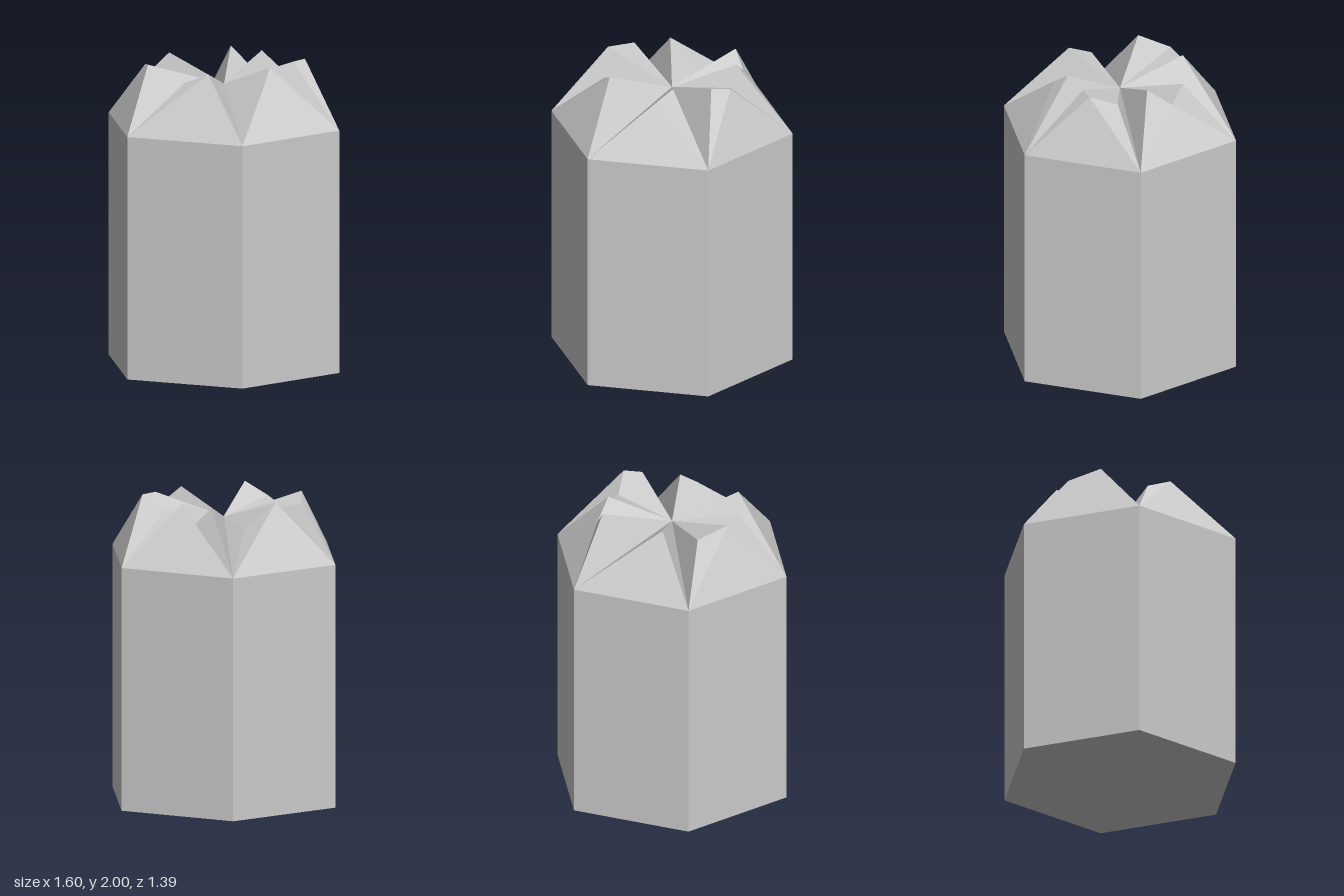
import * as THREE from 'three';

const RADIUS = 0.8, BAND = 0.8, RIM_Y = 1.6;
const CENTRE = [0, 1.85, 0];

// One entry per sixth of the top: ridge points in order round the tile,
// and the index of the summit from which the outer slope fans out
const WEDGES = [
  { summit: 1, ridge: [[0.41, 1.92, 0.085], [0.45, 2, 0.275], [0.33, 2, 0.3]] },
  { summit: 1, ridge: [[0.09, 2, 0.36], [0, 1.93, 0.43]] },
  { summit: 0, ridge: [[-0.35, 2, 0.275], [-0.42, 1.925, 0.115]] },
  { summit: 0, ridge: [[-0.47, 2, -0.2], [-0.34, 1.96, -0.39]] },
  { summit: 0, ridge: [[-0.11, 2, -0.43], [0.09, 1.83, -0.36]] },
  { summit: 1, ridge: [[0.34, 2, -0.355], [0.41, 1.89, -0.27], [0.4, 2, -0.11]] },
];

function rimCorner(i) {
  const a = (i % 6) * Math.PI / 3;
  return [RADIUS * Math.cos(a), RIM_Y, RADIUS * Math.sin(a)];
}

// Inner faces fan from the central hollow, outer faces fan from the summit
function peakGeometry({ summit, ridge }, i) {
  const loop = [rimCorner(i), ...ridge, rimCorner(i + 1)];
  const n = loop.length, pos = [];
  for (let k = 0; k < n - 1; k++) pos.push(...CENTRE, ...loop[k + 1], ...loop[k]);
  const pivot = summit + 1;
  for (let k = 1; k < n - 1; k++) {
    pos.push(...loop[pivot], ...loop[(pivot + k) % n], ...loop[(pivot + k + 1) % n]);
  }
  const geo = new THREE.BufferGeometry();
  geo.setAttribute('position', new THREE.Float32BufferAttribute(pos, 3));
  geo.computeVertexNormals();
  return geo;
}

export function createModel() {
  const group = new THREE.Group();
  group.name = 'hexagonalMountainTile';
  const material = new THREE.MeshStandardMaterial({ color: 0xcccccc, flatShading: true });

  const add = (name, geometry, y = 0) => {
    const mesh = new THREE.Mesh(geometry, material);
    mesh.name = name;
    mesh.position.y = y;
    group.add(mesh);
  };

  // Two stacked six-sided bands; the upper one is closed by the peaks
  const band = (open) => new THREE.CylinderGeometry(RADIUS, RADIUS, BAND, 6, 1, open, Math.PI / 2);
  add('lowerBlock', band(false), BAND / 2);
  add('upperBlock', band(true), BAND * 1.5);

  // Six rocky peaks around the hollow
  WEDGES.forEach((wedge, i) => add(`peak${i + 1}`, peakGeometry(wedge, i)));

  return group;
}
